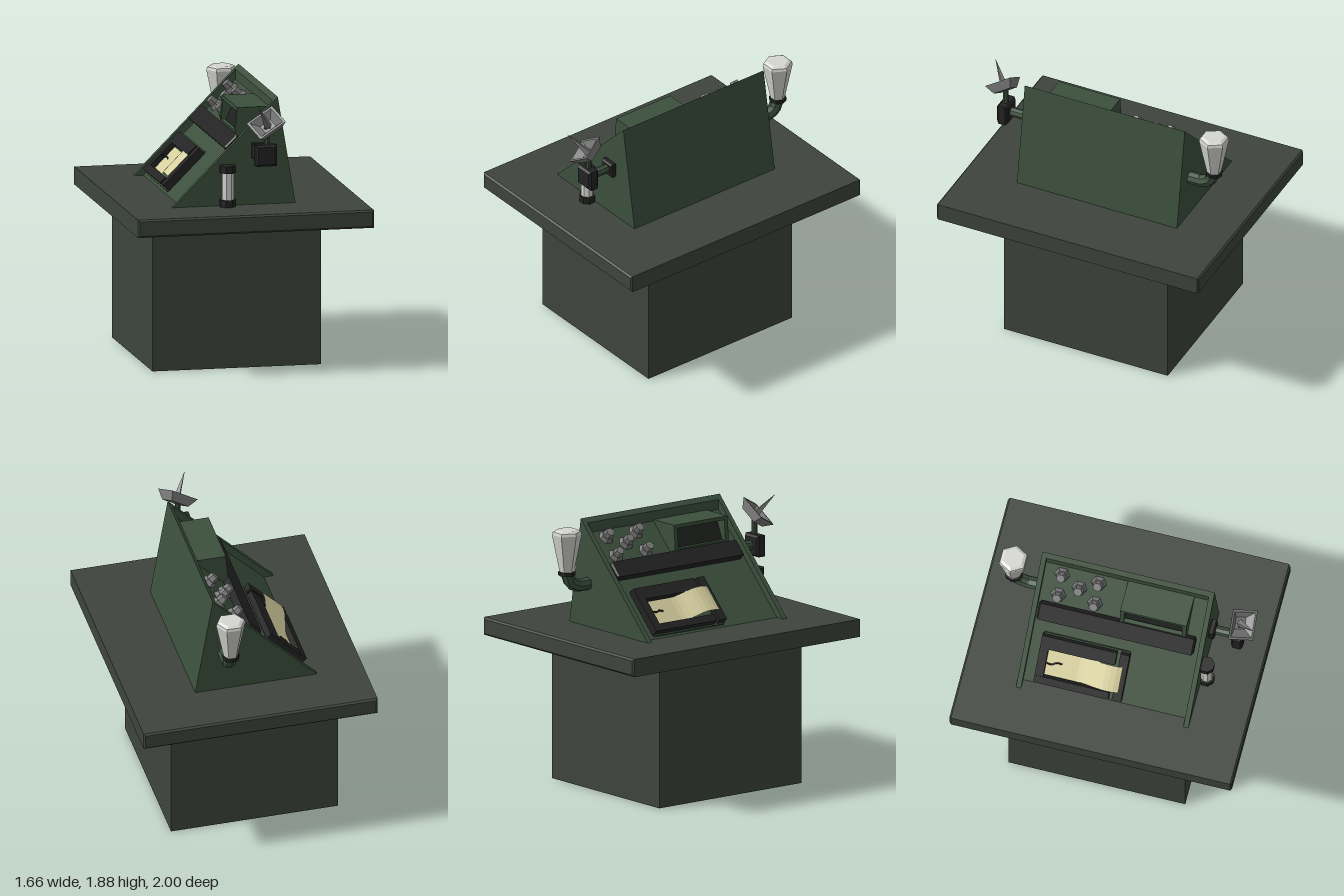
import * as THREE from 'three';

const mat = (name, color, extra = {}) => {
  const m = new THREE.MeshStandardMaterial({ color, flatShading: true, ...extra });
  m.name = name;
  return m;
};

export function createModel() {
  const deskMat = mat('dark grey green', 0x3e443d);
  const green = mat('console green', 0x3c503d);
  const black = mat('black', 0x232323);
  const screenMat = mat('screen dark', 0x1d221e);
  const glass = mat('lamp white', 0xd6d6d2);
  const paperMat = mat('paper cream', 0xd6cf9f, { side: THREE.DoubleSide });
  const metal = mat('grey metal', 0x7c7c7c, { side: THREE.DoubleSide });

  const model = new THREE.Group();
  model.name = 'controlDesk';

  const add = (name, geo, material, x = 0, y = 0, z = 0, parent = model) => {
    const m = new THREE.Mesh(geo, material);
    m.name = name;
    m.position.set(x, y, z);
    parent.add(m);
    return m;
  };

  // Box with a single chamfer on every edge, centred
  const bevelBox = (w, h, d, b) => {
    const s = new THREE.Shape();
    const a = w / 2 - b, c = h / 2 - b;
    s.moveTo(-a, -c).lineTo(a, -c).lineTo(a, c).lineTo(-a, c);
    return new THREE.ExtrudeGeometry(s, {
      depth: d - 2 * b, bevelEnabled: true, bevelSize: b, bevelThickness: b, bevelSegments: 1,
    }).translate(0, 0, -d / 2 + b);
  };

  // Side profile in x, y pulled from z0 to z1
  const slab = (pts, z0, z1) =>
    new THREE.ExtrudeGeometry(new THREE.Shape(pts.map(p => new THREE.Vector2(...p))),
      { depth: z1 - z0, bevelEnabled: false }).translate(0, 0, z0);

  // Box given by its extents
  const span = (name, material, parent, x0, x1, y0, y1, z0, z1) =>
    add(name, new THREE.BoxGeometry(x1 - x0, y1 - y0, z1 - z0), material,
      (x0 + x1) / 2, (y0 + y1) / 2, (z0 + z1) / 2, parent);

  // Desk
  span('pedestal', deskMat, model, -0.645, 0.54, 0, 1.02, -0.625, 0.625);
  add('deskTop', bevelBox(1.66, 0.125, 2, 0.012), deskMat, 0, 1.0725, 0);

  // Wedge console: recessed panel between two full-height cheeks
  add('consoleBody', slab([[-0.44, 1.13], [0.365, 1.13], [0.24, 1.88], [0.21, 1.85], [0.21, 1.78]],
    -0.575, 0.575), green);
  for (const s of [-1, 1]) {
    add('consoleCheek', slab([[-0.505, 1.13], [0.365, 1.13], [0.24, 1.88]],
      s < 0 ? -0.61 : 0.575, s < 0 ? -0.575 : 0.61), green);
  }

  // Parts on the slope: x runs up the slope, y points out of it
  const panel = new THREE.Group();
  panel.name = 'slopedPanel';
  panel.position.set(-0.5, 1.14, 0);
  panel.rotation.z = Math.PI / 4;
  model.add(panel);

  add('dividerStrip', bevelBox(0.125, 0.055, 1.11, 0.012), black, 0.603, -0.02, -0.01, panel);

  // Chart recorder
  span('recorderBacking', green, panel, 0.06, 0.44, -0.05, -0.035, -0.49, 0.115);
  span('recorderLowerRail', black, panel, 0.07, 0.125, -0.05, 0.01, -0.5, 0.03);
  span('recorderUpperRail', black, panel, 0.335, 0.43, -0.05, 0.008, -0.5, 0.03);
  span('recorderEnd', black, panel, 0.125, 0.335, -0.05, 0.008, -0.5, -0.44);
  span('paperBar', black, panel, 0.07, 0.43, -0.05, 0.008, 0.055, 0.12);

  const paper = new THREE.PlaneGeometry(0.2, 0.53, 1, 14).rotateX(-Math.PI / 2);
  const pos = paper.attributes.position;
  for (let i = 0; i < pos.count; i++) {
    const z = pos.getZ(i) - 0.175;
    const rise = THREE.MathUtils.smoothstep(z, -0.22, 0.0);
    const droop = THREE.MathUtils.smoothstep(z, 0.03, 0.12);
    pos.setXYZ(i, pos.getX(i) + 0.23 + rise * 0.012, -0.03 + rise * 0.066 - droop * 0.02, z);
  }
  add('paperStrip', paper, paperMat, 0, 0, 0, panel);

  const pen = new THREE.CatmullRomCurve3([[0.235, 0, -0.445], [0.225, -0.005, -0.4],
    [0.24, -0.015, -0.37], [0.235, -0.025, -0.33]].map(p => new THREE.Vector3(...p)));
  add('recorderPen', new THREE.TubeGeometry(pen, 8, 0.006, 5), black, 0, 0, 0, panel);

  // Knobs
  for (const [x, z] of [[0.03, -0.45], [0.14, -0.45], [0.09, -0.315], [0.03, -0.19], [0.14, -0.19]]) {
    const u = (x + 0.5) * Math.SQRT2 - 0.015;
    add('knobBase', new THREE.CylinderGeometry(0.042, 0.055, 0.03, 6), metal, u, -0.032, z, panel);
    add('knobCap', new THREE.CylinderGeometry(0.032, 0.036, 0.045, 6), metal, u, 0.003, z, panel);
  }

  // Hooded screen
  const hood = [[-0.03, 1.53], [-0.03, 1.61], [-0.015, 1.79], [0.215, 1.79], [0.215, 1.75]].reverse();
  add('hoodSide', slab(hood, 0.005, 0.035), green);
  add('hoodSide', slab(hood, 0.445, 0.475), green);
  add('hoodTop', slab([[-0.017, 1.765], [0.215, 1.765], [0.215, 1.79], [-0.015, 1.79]], 0.035, 0.445), green);
  add('hoodSill', slab([[-0.03, 1.54], [0.0, 1.57], [0.0, 1.625], [-0.029, 1.625]], 0.035, 0.445), green);
  add('screen', slab([[0.01, 1.58], [0.2, 1.765], [0.07, 1.766], [0.005, 1.62]], 0.035, 0.445), screenMat);

  // Beacon lamp on a bent pipe
  const pipe = new THREE.CurvePath();
  const bend = [[0.16, 1.437, -0.59], [0.16, 1.437, -0.7], [0.16, 1.463, -0.765], [0.16, 1.54, -0.795]]
    .map(p => new THREE.Vector3(...p));
  for (let i = 0; i < 3; i++) pipe.add(new THREE.LineCurve3(bend[i], bend[i + 1]));
  add('lampPipe', new THREE.TubeGeometry(pipe, 14, 0.045, 8), green);
  add('lampCollar', new THREE.CylinderGeometry(0.06, 0.06, 0.025, 8), black, 0.16, 1.535, -0.795);
  const lampProfile = [[0, 1.54], [0.05, 1.545], [0.104, 1.81], [0.098, 1.83], [0.075, 1.842], [0, 1.842]]
    .map(p => new THREE.Vector2(...p));
  add('lampGlass', new THREE.LatheGeometry(lampProfile, 6, Math.PI / 2), glass, 0.16, 0, -0.795);

  // Tube light standing at the cheek
  add('tubeGlass', new THREE.CylinderGeometry(0.044, 0.044, 0.24, 8).rotateY(Math.PI / 8), glass, -0.12, 1.28, 0.645);
  for (const y of [1.16, 1.397])
    add('tubeCap', new THREE.CylinderGeometry(0.058, 0.058, 0.05, 8).rotateY(Math.PI / 8), black, -0.12, y, 0.642);

  // Antenna arm
  add('armMount', bevelBox(0.11, 0.105, 0.05, 0.012), black, 0.107, 1.515, 0.63);
  add('armPipe', new THREE.CylinderGeometry(0.034, 0.034, 0.15, 8).rotateX(Math.PI / 2), green, 0.107, 1.517, 0.71);
  add('armJoint', bevelBox(0.147, 0.15, 0.083, 0.015), black, 0.107, 1.517, 0.815);
  add('dishPost', new THREE.CylinderGeometry(0.02, 0.02, 0.13, 8), green, 0.115, 1.645, 0.815);

  // Square dish with a spike
  const up = new THREE.Vector3(-0.43, 0.72, 0.54).normalize();
  const side = new THREE.Vector3(0.841, 0.537, -0.047);
  side.addScaledVector(up, -side.dot(up)).normalize();
  const dish = new THREE.Group();
  dish.name = 'dish';
  dish.quaternion.setFromRotationMatrix(
    new THREE.Matrix4().makeBasis(side, up, new THREE.Vector3().crossVectors(side, up)));
  dish.position.set(0.105, 1.75, 0.845);
  model.add(dish);
  const frustum = (top, bottom, h) => new THREE.CylinderGeometry(top * Math.SQRT2, bottom * Math.SQRT2,
    h, 4, 1, true).rotateY(Math.PI / 4).scale(0.107, 1, 0.095);
  add('dishShell', frustum(1, 0.66, 0.065), metal, 0, -0.0325, 0, dish);
  add('dishInside', frustum(0.84, 0.4, 0.045), metal, 0, -0.0225, 0, dish);
  const rim = new THREE.RingGeometry(0.84 * Math.SQRT2, Math.SQRT2, 4, 1, Math.PI / 4)
    .rotateX(-Math.PI / 2).scale(0.107, 1, 0.095);
  add('dishRim', rim, metal, 0, 0, 0, dish);
  add('dishFloor', new THREE.BoxGeometry(0.14, 0.02, 0.124), metal, 0, -0.055, 0, dish);
  add('dishSpike', new THREE.ConeGeometry(0.028, 0.215, 4), metal, 0, 0.06, 0, dish);

  return model;
}
